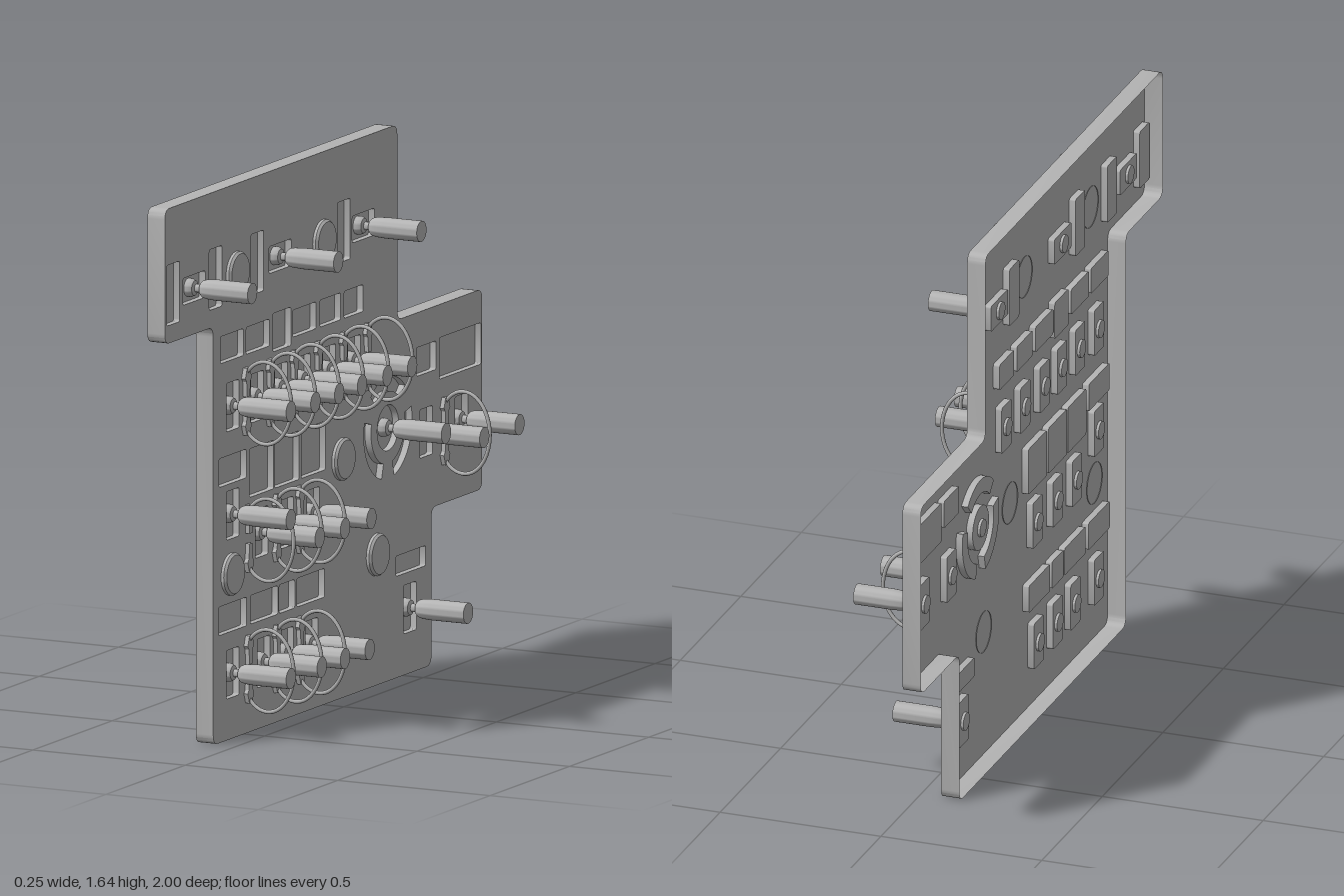
import * as THREE from 'three';
import { toCreasedNormals } from 'three/addons/utils/BufferGeometryUtils.js';

const FACE = -0.067, BACK = -0.124, POCKET = -0.087, TIP = 0.124;
const V = (x, y) => new THREE.Vector2(x, y);

// Outlines are drawn in (z, y) and stored as (-z, y); turning by 90 degrees puts them on the +x face.
function roundedOutline(corners, r) {
  const pts = [], n = corners.length;
  corners.forEach((c, i) => {
    const a = corners[(i + n - 1) % n].clone().sub(c).setLength(r).add(c);
    const b = corners[(i + 1) % n].clone().sub(c).setLength(r).add(c);
    for (let k = 0; k <= 5; k++) {
      const t = k / 5, s = 1 - t;
      pts.push(V(s * s * a.x + 2 * s * t * c.x + t * t * b.x, s * s * a.y + 2 * s * t * c.y + t * t * b.y));
    }
  });
  return pts;
}

function rect(z, y, w, h) {
  const u = -z, a = w / 2, b = h / 2;
  return roundedOutline([V(u - a, y - b), V(u + a, y - b), V(u + a, y + b), V(u - a, y + b)], 0.008);
}

function ringSector(z, y, r0, r1, from, to) {
  const pts = [], steps = 14;
  const at = (r, t) => V(-z + r * Math.cos(t), y + r * Math.sin(t));
  for (let i = 0; i <= steps; i++) pts.push(at(r1, from + (to - from) * i / steps));
  for (let i = steps; i >= 0; i--) pts.push(at(r0, from + (to - from) * i / steps));
  return pts;
}

function circle(z, y, r) {
  return Array.from({ length: 32 }, (_, i) => V(-z + r * Math.cos(i * Math.PI / 16), y + r * Math.sin(i * Math.PI / 16)));
}

function sheet(points, x, holes = []) {
  const s = new THREE.Shape(points);
  holes.forEach(h => s.holes.push(new THREE.Path(h)));
  return new THREE.ShapeGeometry(s).rotateY(Math.PI / 2).translate(x, 0, 0);
}

// Open wall that follows an outline from x0 (back) to x1 (front)
function wall(points, x0, x1) {
  const pos = [];
  points.forEach((p, i) => {
    const q = points[(i + 1) % points.length];
    const a = [x0, p.y, -p.x], b = [x0, q.y, -q.x], c = [x1, q.y, -q.x], d = [x1, p.y, -p.x];
    pos.push(...a, ...b, ...c, ...a, ...c, ...d);
  });
  const g = new THREE.BufferGeometry();
  g.setAttribute('position', new THREE.Float32BufferAttribute(pos, 3));
  return toCreasedNormals(g, 0.6);
}

// Turned part along +x from [radius, x] pairs
function turned(profile, segments = 28) {
  const g = new THREE.LatheGeometry(profile.map(p => V(p[0], p[1])), segments).rotateZ(-Math.PI / 2);
  return toCreasedNormals(g, 0.6);
}

export function createModel() {
  const model = new THREE.Group();
  model.name = 'switchPanel';
  const grey = new THREE.MeshStandardMaterial({ color: 0xb4b4b4, side: THREE.DoubleSide });
  grey.name = 'grey';
  const add = (name, geometry, y = 0, z = 0, parent = model) => {
    const m = new THREE.Mesh(geometry, grey);
    m.name = name;
    m.position.set(0, y, z);
    parent.add(m);
    return m;
  };

  // Layout, all as [z, y]
  const row = (y, zs) => zs.map(z => [z, y]);
  const topSwitches = row(1.377, [0.815, 0.273, -0.251]);
  const switches = [
    ...row(0.986, [0.572, 0.417, 0.267, 0.123, -0.037, -0.193]),
    [0.572, 0.665], ...row(0.58, [0.39, 0.23, 0.064]),
    ...row(0.194, [0.572, 0.377, 0.23, 0.075, -0.545]),
    ...row(0.697, [-0.647, -0.869]),
  ];
  const rotary = [-0.406, 0.751];
  const guards = [
    ...row(0.986, [0.497, 0.345, 0.195, 0.043, -0.115, -0.267]),
    ...row(0.578, [0.482, 0.305, 0.158]),
    ...row(0.19, [0.482, 0.305, 0.158]),
    [-0.754, 0.682],
  ];
  const dials = [[0.551, 1.377], [0.005, 1.377], [0.583, 0.489], [-0.115, 0.709], [-0.332, 0.388]];
  // Label recesses as [z, y, width, height]
  const labels = [
    ...[0.947, 0.68, 0.417, -0.128].map(z => [z, 1.383, 0.08, 0.18]),
    [0.577, 1.163, 0.146, 0.08], [0.414, 1.163, 0.146, 0.08], [0.262, 1.158, 0.114, 0.114],
    [0.12, 1.163, 0.146, 0.08], [-0.043, 1.163, 0.13, 0.08], [-0.19, 1.163, 0.12, 0.08],
    [0.572, 0.8, 0.172, 0.085],
    ...[0.39, 0.23, 0.064].map(z => [z, 0.767, 0.152, 0.144]),
    [0.572, 0.361, 0.176, 0.085], [0.374, 0.361, 0.174, 0.085],
    [0.23, 0.361, 0.098, 0.085], [0.08, 0.361, 0.174, 0.085],
    [-0.55, 0.331, 0.187, 0.06], [-0.647, 0.914, 0.123, 0.085], [-0.861, 0.9, 0.262, 0.123],
  ];

  // Recesses pressed into the face
  const pockets = [
    ...labels.map(l => ['labelRecess', rect(...l)]),
    ...switches.map(([z, y]) => ['switchRecess', rect(z, y, 0.08, 0.144)]),
    ...topSwitches.map(([z, y]) => ['switchRecess', rect(z, y, 0.14, 0.08)]),
    ['rotaryRecess', circle(...rotary, 0.068)],
    ...[90, 210, 330].map(d => {
      const t = d * Math.PI / 180;
      return ['arcRecess', ringSector(...rotary, 0.107, 0.152, t - 0.78, t + 0.78)];
    }),
  ];
  for (const [name, pts] of pockets) {
    add(name + 'Floor', sheet(pts, POCKET));
    add(name + 'Wall', wall(pts, POCKET, FACE));
  }

  // Open-backed panel shell with a stepped outline
  const outline = roundedOutline([
    [1, 1.24], [0.695, 1.24], [0.695, 0], [-0.68, 0], [-0.68, 0.467],
    [-1, 0.467], [-1, 1.06], [-0.465, 1.06], [-0.465, 1.64], [1, 1.64],
  ].map(([z, y]) => V(-z, y)), 0.03);
  add('panelFace', sheet(outline, FACE, pockets.map(p => p[1])));
  add('panelRim', wall(outline, BACK, FACE));

  // Toggle switches: collar, thin neck and long round handle
  const handle = turned([
    [0, -0.095], [0.027, -0.095], [0.027, -0.074], [0.022, -0.064], [0.012, -0.06], [0.012, -0.043],
    [0.02, -0.041], [0.026, -0.034], [0.029, -0.022], [0.031, 0.01], [0.031, TIP], [0, TIP],
  ]);
  [...switches, ...topSwitches].forEach(([z, y]) => add('toggleSwitch', handle, y, z));
  add('rotaryKnob', handle, rotary[1], rotary[0]);

  // Round dials with a chamfered edge
  const dial = turned([[0.063, FACE - 0.002], [0.063, -0.058], [0.057, -0.051], [0, -0.051]], 40);
  dials.forEach(([z, y]) => add('dial', dial, y, z));

  // Guard hoops between switches, each on two tapered feet
  const arc = [];
  for (let i = 0; i <= 16; i++) {
    const t = -2.36 + 4.72 * i / 16;
    arc.push(new THREE.Vector3(0.086 * Math.cos(t), 0.122 * Math.sin(t), 0));
  }
  const hoop = new THREE.TubeGeometry(new THREE.CatmullRomCurve3(arc), 40, 0.006, 8);
  const foot = new THREE.ExtrudeGeometry(new THREE.Shape([
    V(-0.009, -0.055), V(0.009, -0.055), V(0.012, -0.01), V(0.02, 0), V(0.009, 0.03), V(-0.009, 0.03), V(-0.02, 0), V(-0.012, -0.01),
  ]), { depth: 0.013, bevelEnabled: false }).rotateY(Math.PI / 2).translate(FACE, 0, 0);
  for (const [z, y] of guards) {
    const g = new THREE.Group();
    g.name = 'switchGuard';
    g.position.set(0, y, z);
    model.add(g);
    add('guardHoop', hoop, 0, 0, g);
    add('upperFoot', foot, 0.07, 0, g);
    add('lowerFoot', foot, -0.07, 0, g).rotation.x = Math.PI;
  }
  return model;
}
